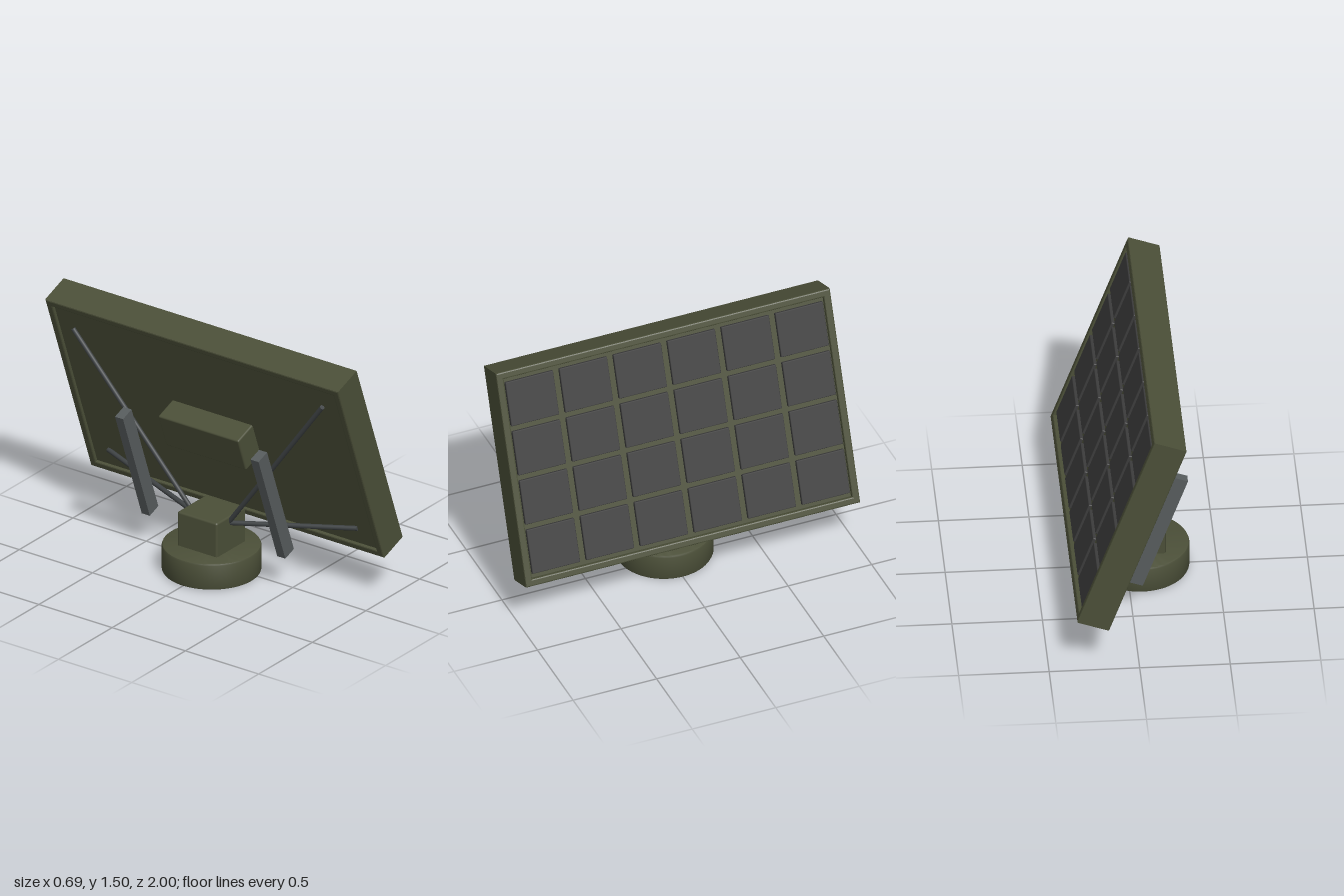
import * as THREE from 'three';
import { RoundedBoxGeometry } from 'three/addons/geometries/RoundedBoxGeometry.js';
import { toCreasedNormals } from 'three/addons/utils/BufferGeometryUtils.js';

const material = (name, color) => {
  const m = new THREE.MeshStandardMaterial({ color });
  m.name = name;
  return m;
};

export function createModel() {
  const olive = material('olive paint', 0x4b4f38);
  const cellGrey = material('dark cell', 0x3c3c3c);
  const steel = material('steel grey', 0x575c5d);
  const rodGrey = material('dark steel', 0x3f4345);

  const model = new THREE.Group();
  model.name = 'tiltedPanelArray';
  const TILT = THREE.MathUtils.degToRad(20);

  const add = (parent, name, geometry, mat, x = 0, y = 0, z = 0) => {
    const mesh = new THREE.Mesh(geometry, mat);
    mesh.name = name;
    mesh.position.set(x, y, z);
    parent.add(mesh);
    return mesh;
  };

  // Round foot with softened rims
  const R = 0.275, H = 0.16, e = 0.012;
  const profile = [
    [0, 0], [R - e, 0], [R - e * 0.3, e * 0.3], [R, e],
    [R, H - e], [R - e * 0.3, H - e * 0.3], [R - e, H], [0, H],
  ].map(([x, y]) => new THREE.Vector2(x, y));
  add(model, 'base', toCreasedNormals(new THREE.LatheGeometry(profile, 64), 0.5), olive, -0.073);

  // Square pedestal
  add(model, 'pedestal', new RoundedBoxGeometry(0.272, 0.225, 0.272, 2, 0.012), olive, -0.073, 0.253, 0);

  // Panel assembly: local x is the outward normal, local y runs up the slope
  const panel = new THREE.Group();
  panel.name = 'panel';
  panel.position.set(0.0425, 0.8775, 0);
  panel.rotation.z = TILT;
  model.add(panel);

  const W = 2, L = 1.254, T = 0.19, lip = 0.042, bevel = 0.008;
  const rectangle = (path, w, h) => {
    path.moveTo(-w / 2, -h / 2);
    path.lineTo(w / 2, -h / 2);
    path.lineTo(w / 2, h / 2);
    path.lineTo(-w / 2, h / 2);
    path.closePath();
    return path;
  };
  const outline = rectangle(new THREE.Shape(), W, L);
  outline.holes.push(rectangle(new THREE.Path(), W - 2 * lip, L - 2 * lip));
  const frame = new THREE.ExtrudeGeometry(outline, {
    depth: T - 2 * bevel, bevelEnabled: true, bevelThickness: bevel,
    bevelSize: bevel, bevelOffset: -bevel, bevelSegments: 2,
  });
  frame.translate(0, 0, -(T / 2 - bevel));
  frame.rotateY(Math.PI / 2);
  add(panel, 'frame', frame, olive);

  // Backing plate, recessed on both sides
  const back = -0.078, front = 0.07;
  add(panel, 'backing', new THREE.BoxGeometry(front - back, L - 2 * lip + 0.01, W - 2 * lip + 0.01),
    olive, (front + back) / 2);

  // Cells, six columns by four rows
  const cell = new RoundedBoxGeometry(0.036, 0.257, 0.287, 1, 0.005);
  for (let row = 0; row < 4; row++) {
    for (let col = 0; col < 6; col++) {
      add(panel, 'cell', cell, cellGrey, front, (row - 1.5) * 0.288, (col - 2.5) * 0.323);
    }
  }

  // Mounting block behind the panel
  add(panel, 'mountBlock', new RoundedBoxGeometry(0.16, 0.22, 0.55, 2, 0.01), olive, -0.138, -0.002, 0);

  // Round rod between two points
  const addRod = (name, a, b) => {
    const from = new THREE.Vector3(...a), to = new THREE.Vector3(...b);
    const direction = to.clone().sub(from);
    const rod = add(model, name, new THREE.CylinderGeometry(0.014, 0.014, direction.length(), 12), rodGrey);
    rod.position.copy(from).add(to).multiplyScalar(0.5);
    rod.quaternion.setFromUnitVectors(new THREE.Vector3(0, 1, 0), direction.normalize());
  };

  // Side struts and brace rods, mirrored
  for (const side of [-1, 1]) {
    const strut = add(model, 'strut', new THREE.BoxGeometry(0.085, 0.73, 0.055), steel,
      -0.14, 0.552, side * 0.4625);
    strut.rotation.z = TILT;
    addRod('upperBrace', [-0.08, 0.32, side * 0.12], [-0.203, 1.278, side * 0.85]);
    addRod('lowerBrace', [-0.08, 0.32, side * 0.12], [0.125, 0.412, side * 0.85]);
  }

  return model;
}
